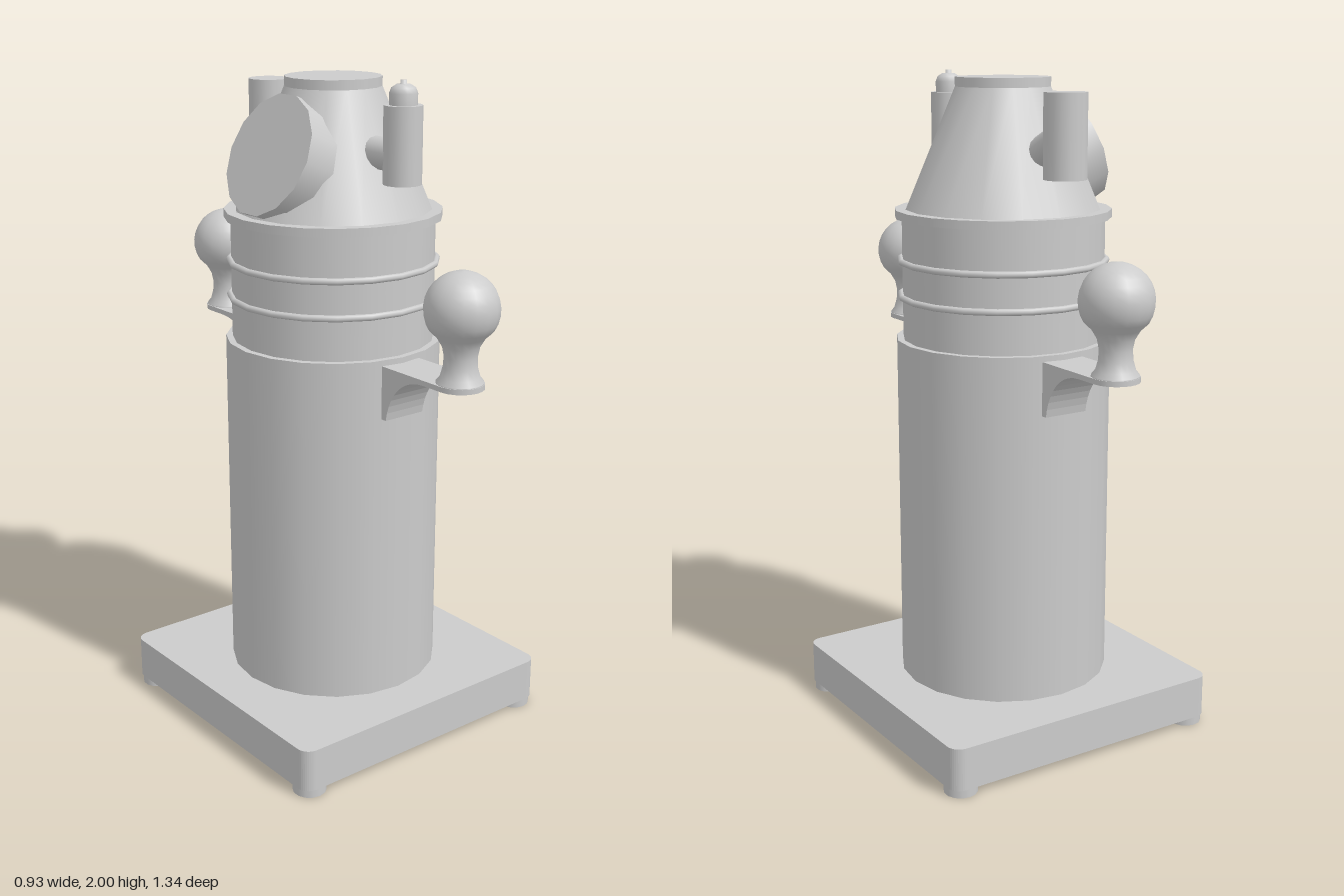
import * as THREE from 'three';

const material = new THREE.MeshStandardMaterial({ color: 0xcccccc });

function add(parent, name, geometry, x = 0, y = 0, z = 0) {
  const mesh = new THREE.Mesh(geometry, material);
  mesh.name = name;
  mesh.position.set(x, y, z);
  parent.add(mesh);
  return mesh;
}

// Upright cylinder or cone between two heights
function column(parent, name, rBottom, rTop, y0, y1, segments, x = 0, z = 0) {
  return add(parent, name, new THREE.CylinderGeometry(rTop, rBottom, y1 - y0, segments), x, (y0 + y1) / 2, z);
}

// Cylinder running between two points
function rod(parent, name, radius, from, to, segments) {
  const a = new THREE.Vector3(...from), b = new THREE.Vector3(...to);
  const dir = b.clone().sub(a);
  const mesh = add(parent, name, new THREE.CylinderGeometry(radius, radius, dir.length(), segments));
  mesh.position.copy(a).add(b).multiplyScalar(0.5);
  mesh.quaternion.setFromUnitVectors(new THREE.Vector3(0, 1, 0), dir.normalize());
  return mesh;
}

function lathe(points, segments) {
  return new THREE.LatheGeometry(points.map(p => new THREE.Vector2(...p)), segments);
}

function basePlate() {
  const h = 0.465, r = 0.04, s = new THREE.Shape();
  s.absarc(h - r, h - r, r, 0, Math.PI / 2);
  s.absarc(-h + r, h - r, r, Math.PI / 2, Math.PI);
  s.absarc(-h + r, -h + r, r, Math.PI, Math.PI * 1.5);
  s.absarc(h - r, -h + r, r, Math.PI * 1.5, Math.PI * 2);
  return new THREE.ExtrudeGeometry(s, { depth: 0.13, bevelEnabled: false, curveSegments: 5 }).rotateX(-Math.PI / 2);
}

// Bracket with a curved underside, carrying a knob; built towards +z
function handle() {
  const g = new THREE.Group();
  const s = new THREE.Shape();
  s.moveTo(0.28, 1.04);
  s.lineTo(0.333, 1.04);
  s.bezierCurveTo(0.345, 1.12, 0.4, 1.185, 0.49, 1.185);
  s.lineTo(0.565, 1.185);
  s.lineTo(0.565, 1.2);
  s.lineTo(0.28, 1.2);
  s.closePath();
  const arm = new THREE.ExtrudeGeometry(s, { depth: 0.14, bevelEnabled: false, curveSegments: 10 });
  add(g, 'handleBracket', arm.translate(0, 0, -0.07).rotateY(-Math.PI / 2));
  column(g, 'bracketEnd', 0.07, 0.07, 1.185, 1.2, 20, 0, 0.565);

  // Flared foot, waist, then ball
  const profile = [[0, 1.195], [0.068, 1.195], [0.068, 1.203], [0.057, 1.217], [0.049, 1.245],
    [0.047, 1.275], [0.053, 1.305], [0.068, 1.33]];
  for (let i = 0; i <= 10; i++) {
    const a = -0.58 + (Math.PI / 2 + 0.58) * i / 10;
    profile.push([Math.max(0, 0.107 * Math.cos(a)), 1.409 + 0.107 * Math.sin(a)]);
  }
  add(g, 'handleKnob', lathe(profile, 18), 0, 0, 0.565);
  return g;
}

export function createModel() {
  const model = new THREE.Group();
  model.name = 'model';

  // Base and feet
  add(model, 'basePlate', basePlate(), 0, 0.025, 0);
  for (const x of [-0.415, 0.415])
    for (const z of [-0.415, 0.415]) column(model, 'foot', 0.05, 0.05, 0, 0.03, 14, x, z);

  // Main body with banded neck
  column(model, 'body', 0.325, 0.325, 0.15, 1.217, 20);
  column(model, 'neck', 0.305, 0.305, 1.2, 1.59, 20);
  for (const y of [1.345, 1.452])
    add(model, 'neckBand', new THREE.TorusGeometry(0.31, 0.01, 8, 20).rotateX(Math.PI / 2), 0, y, 0);
  column(model, 'collar', 0.325, 0.325, 1.58, 1.605, 20);

  // Conical head
  column(model, 'cone', 0.295, 0.143, 1.6, 1.96, 16);
  column(model, 'coneCap', 0.143, 0.143, 1.955, 1.988, 16);

  // Sloping round hatch on the right flank
  const centre = [-0.235, 1.782, 0], depth = 0.14;
  rod(model, 'hatch', 0.182, [centre[0] + 0.915 * depth, centre[1] - 0.404 * depth, 0], centre, 14);

  // Front valve
  rod(model, 'valvePipe', 0.047, [0, 1.79, 0.12], [0, 1.79, 0.31], 14);
  column(model, 'valveBody', 0.055, 0.055, 1.715, 1.933, 16, 0, 0.31);
  add(model, 'valveTip', lathe([[0.04, 1.93], [0.04, 1.965], [0.034, 1.98], [0.02, 1.989],
    [0.009, 1.99], [0.009, 2], [0, 2]], 14), 0, 0, 0.31);

  // Rear canister
  rod(model, 'canisterPipe', 0.047, [0, 1.74, -0.12], [0, 1.835, -0.315], 14);
  column(model, 'canister', 0.063, 0.063, 1.715, 1.955, 16, 0, -0.317);

  // Matching handles at front and back
  for (const [name, turn] of [['frontHandle', 0], ['backHandle', Math.PI]]) {
    const h = handle();
    h.name = name;
    h.rotation.y = turn;
    model.add(h);
  }
  return model;
}
